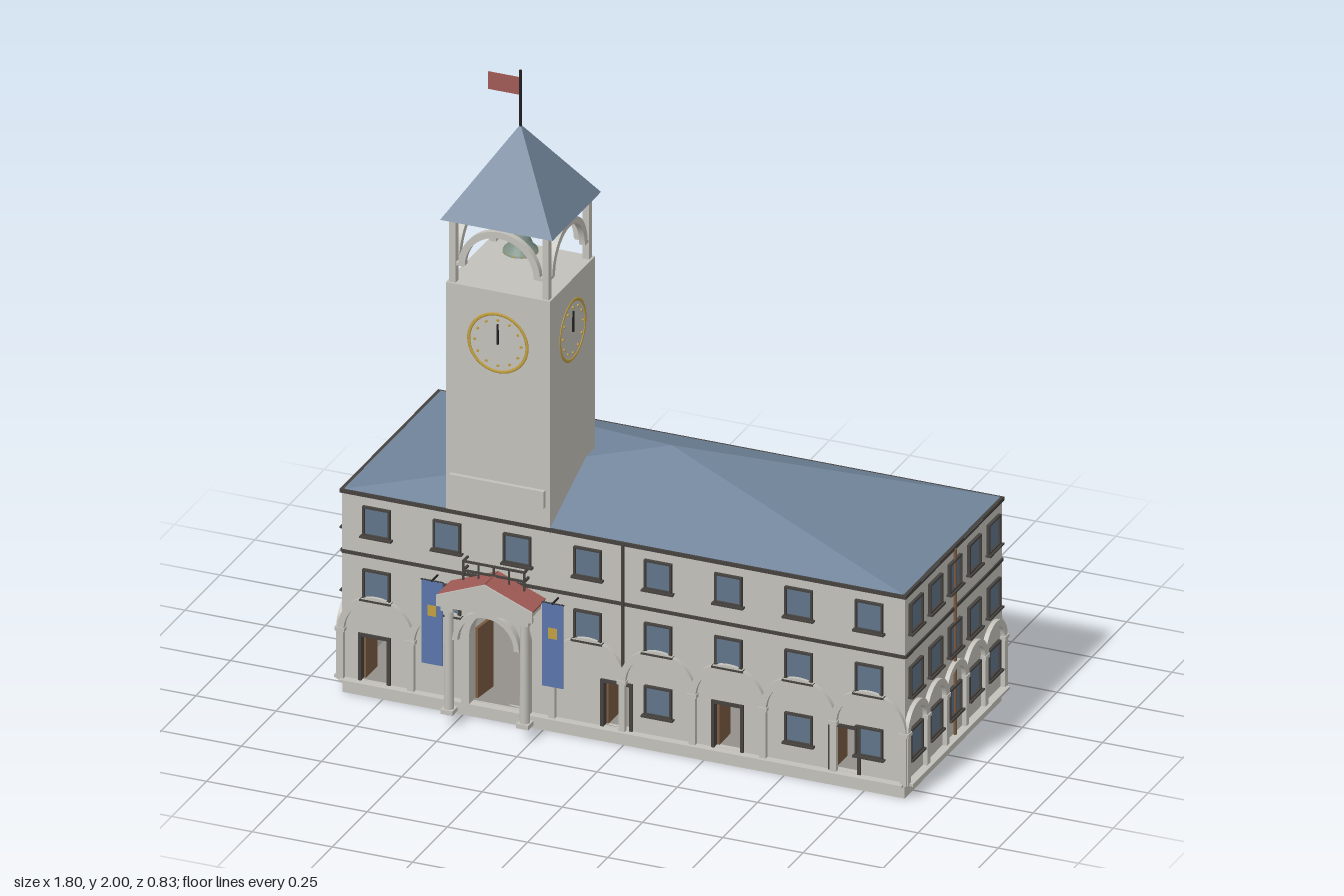
import * as THREE from 'three';

const mat = (color, extra = {}) => new THREE.MeshStandardMaterial({ color, ...extra });
const M = {
  wall: mat(0xc3c1ba), roof: mat(0x70849a, { flatShading: true }), dark: mat(0x45423f), glass: mat(0x5f7488),
  brown: mat(0x7a5a40), red: mat(0xa05a55, { side: THREE.DoubleSide }), gold: mat(0xc2a040), floor: mat(0x94918c),
  blue: mat(0x5a76ac), bronze: mat(0x7f9288, { side: THREE.DoubleSide }), black: mat(0x222222),
};
const TX = -0.39, TZ = 0.15; // tower axis

function add(parent, name, geo, material, x = 0, y = 0, z = 0) {
  const m = new THREE.Mesh(geo, material);
  m.name = name;
  m.position.set(x, y, z);
  parent.add(m);
  return m;
}
const box = (p, name, material, w, h, d, x, y, z) =>
  add(p, name, new THREE.BoxGeometry(w, h, d), material, x, y, z);
const cyl = (p, name, material, r, h, x, y, z, r2 = r) =>
  add(p, name, new THREE.CylinderGeometry(r2, r, h, 12), material, x, y, z);
function group(parent, name, x = 0, y = 0, z = 0, ry = 0) {
  const g = new THREE.Group();
  g.name = name;
  g.position.set(x, y, z);
  g.rotation.y = ry;
  parent.add(g);
  return g;
}
const extrude = (shape, depth) =>
  new THREE.ExtrudeGeometry(shape, { depth, bevelEnabled: false, curveSegments: 20 });

// Half ring standing on its springing line
function arch(p, name, rIn, rOut, depth, x, y, z, start = 0) {
  const s = new THREE.Shape();
  s.absarc(0, 0, rOut, start, Math.PI, false);
  s.absarc(0, 0, rIn, Math.PI, start, true);
  return add(p, name, extrude(s, depth), M.wall, x, y, z);
}

function pyramid(p, name, w, h, d, x, y, z) {
  const geo = new THREE.ConeGeometry(Math.SQRT1_2, h, 4);
  geo.rotateY(Math.PI / 4);
  geo.scale(w, 1, d);
  return add(p, name, geo, M.roof, x, y + h / 2, z);
}

function rectPath(w, h, x = 0, y = 0, Type = THREE.Path) {
  const p = new Type();
  p.moveTo(x - w / 2, y - h / 2).lineTo(x + w / 2, y - h / 2);
  p.lineTo(x + w / 2, y + h / 2).lineTo(x - w / 2, y + h / 2).closePath();
  return p;
}

function windowUnit(p, x, y) {
  const g = group(p, 'window', x, y, 0);
  const frame = rectPath(0.086, 0.094, 0, 0, THREE.Shape);
  frame.holes.push(rectPath(0.074, 0.082));
  add(g, 'windowFrame', extrude(frame, 0.01), M.dark);
  box(g, 'windowGlass', M.glass, 0.075, 0.083, 0.026, 0, 0, -0.01);
  box(g, 'windowSill', M.dark, 0.098, 0.006, 0.016, 0, -0.049, 0.008);
}

// Doorway trim with a leaf standing open to the inside
function doorUnit(p, x, w, h) {
  const g = group(p, 'door', x, 0.045, 0);
  for (const s of [-1, 1]) box(g, 'doorJamb', M.dark, 0.01, h, 0.028, s * w / 2, h / 2, -0.008);
  box(g, 'doorHead', M.dark, w + 0.01, 0.01, 0.028, 0, h, -0.008);
  box(g, 'doorLeaf', M.brown, 0.008, h - 0.01, w * 0.9, -w / 2 + 0.008, h / 2, -0.015 - w * 0.45);
}

// One outside wall, built facing +z
function facade(parent, name, w, n, x, z, ry, doors = [], lowWindows = null) {
  const g = group(parent, name, x, 0, z, ry);
  const front = name === 'frontFacade';
  const step = w / n, r = step / 2;
  const wall = rectPath(w, 0.6, 0, 0.345, THREE.Shape);
  for (const d of doors) {
    wall.holes.push(rectPath(0.09, 0.145, d, 0.1235));
    doorUnit(g, d, 0.09, 0.15);
  }
  if (front) {
    const portal = new THREE.Path();
    portal.moveTo(TX - 0.08, 0.051).lineTo(TX + 0.08, 0.051).lineTo(TX + 0.08, 0.27);
    portal.absarc(TX, 0.27, 0.08, 0, Math.PI, false);
    portal.closePath();
    wall.holes.push(portal);
  }
  add(g, 'wall', extrude(wall, 0.02), M.wall, 0, 0, -0.02);

  for (let i = 0; i < n; i++) {
    const cx = -w / 2 + (i + 0.5) * step;
    windowUnit(g, cx, 0.56);
    if (!lowWindows || lowWindows.includes(i)) windowUnit(g, cx, 0.16);
    if (front && i === 2) continue; // portal bay
    windowUnit(g, cx, 0.36);
    arch(g, 'arcadeArch', r - 0.011, r + 0.009, 0.014, cx, 0.205, 0, front && i === 1 ? 0.9 : 0);
  }
  for (let i = 0; i <= n; i++) {
    if (front && i === 2) continue;
    const px = -w / 2 + i * step;
    box(g, 'arcadePillar', M.wall, 0.02, 0.16, 0.014, px, 0.125, 0.007);
    box(g, 'pillarCapital', M.wall, 0.028, 0.012, 0.017, px, 0.205, 0.0085);
  }
  box(g, 'baseLedge', M.wall, w, 0.008, 0.025, 0, 0.046, 0.0125);
  box(g, 'floorBand', M.dark, w, 0.01, 0.005, 0, 0.45, 0.0025);
  box(g, 'gutter', M.dark, w + 0.01, 0.012, 0.01, 0, 0.641, 0);
  const foot = doors.includes(0) ? 0.2 : 0.05; // pipe stops over a central door
  cyl(g, 'drainpipe', n === 8 ? M.dark : M.brown, 0.005, 0.64 - foot, 0, (0.64 + foot) / 2, 0.005);
}

function clock(p, ry) {
  const g = group(p, 'clock', 0, 1.205, 0, ry), z = 0.163;
  add(g, 'clockRing', new THREE.TorusGeometry(0.091, 0.005, 6, 40).scale(1, 1, 0.4), M.gold, 0, 0, z);
  for (let i = 0; i < 12; i++) {
    const a = i * Math.PI / 6;
    const mark = cyl(g, 'hourMark', M.gold, 0.004, 0.006, Math.sin(a) * 0.072, Math.cos(a) * 0.072, z);
    mark.rotation.x = Math.PI / 2;
  }
  box(g, 'minuteHand', M.black, 0.004, 0.065, 0.003, 0, 0.028, z + 0.002);
  box(g, 'hourHand', M.black, 0.006, 0.045, 0.003, 0, 0.018, z);
}

function tower(root) {
  const g = group(root, 'clockTower', TX, 0, TZ);
  box(g, 'towerShaft', M.wall, 0.324, 0.74, 0.324, 0, 0.997, 0);
  box(g, 'towerPlaque', M.wall, 0.295, 0.055, 0.014, 0, 0.737, 0.168);
  // Belfry
  for (let i = 0; i < 4; i++) {
    const a = i * Math.PI / 2;
    clock(g, a);
    const side = group(g, 'belfrySide', 0, 0, 0, a);
    box(side, 'belfryPost', M.wall, 0.02, 0.2, 0.02, 0.145, 1.467, 0.145);
    arch(side, 'belfryArch', 0.107, 0.127, 0.018, 0, 1.425, 0.136);
    for (const s of [-1, 1]) box(side, 'archBracket', M.wall, 0.03, 0.01, 0.018, s * 0.126, 1.427, 0.145);
  }
  box(g, 'bellBeam', M.brown, 0.29, 0.014, 0.02, 0, 1.527, 0);
  const bell = [[0.052, 0], [0.05, 0.008], [0.037, 0.022], [0.029, 0.042], [0.024, 0.065], [0.016, 0.075], [0, 0.077]];
  add(g, 'bell', new THREE.LatheGeometry(bell.map(([x, y]) => new THREE.Vector2(x, y)), 24), M.bronze, 0, 1.425, 0);
  cyl(g, 'bellRim', M.gold, 0.052, 0.004, 0, 1.427, 0);
  cyl(g, 'bellHanger', M.brown, 0.012, 0.03, 0, 1.513, 0);
  add(g, 'bellClapper', new THREE.SphereGeometry(0.008, 12, 8), M.dark, 0, 1.427, 0);
  // Spire and flag
  box(g, 'belfryCeiling', M.brown, 0.34, 0.006, 0.34, 0, 1.569, 0);
  pyramid(g, 'spire', 0.35, 0.26, 0.35, 0, 1.568, 0);
  cyl(g, 'flagpole', M.black, 0.004, 0.19, 0, 1.905, 0);
  box(g, 'flag', M.red, 0.1, 0.055, 0.003, -0.05, 1.949, 0);
}

function porch(root) {
  const g = group(root, 'porch', TX, 0, 0.31);
  arch(g, 'portalArch', 0.08, 0.105, 0.025, 0, 0.27, 0);
  for (const s of [-1, 1]) {
    box(g, 'portalPilaster', M.wall, 0.025, 0.225, 0.025, s * 0.0925, 0.158, 0.0125);
    cyl(g, 'porchColumn', M.wall, 0.015, 0.34, s * 0.118, 0.21, 0.082, 0.013);
    box(g, 'columnBase', M.wall, 0.038, 0.014, 0.038, s * 0.118, 0.05, 0.082);
    box(g, 'columnCapital', M.wall, 0.038, 0.014, 0.038, s * 0.118, 0.378, 0.082);
    box(g, 'porchSideBeam', M.wall, 0.03, 0.028, 0.098, s * 0.118, 0.399, 0.05);
    // Sloping roof slab
    box(g, 'porchRoof', M.red, 0.158, 0.01, 0.099, s * 0.073, 0.444, 0.0495).rotation.z = -s * 0.38;
  }
  arch(g, 'porchArch', 0.088, 0.104, 0.02, 0, 0.28, 0.072);
  const gable = new THREE.Shape();
  gable.moveTo(-0.15, 0.385).lineTo(0.15, 0.385).lineTo(0.15, 0.419).lineTo(0, 0.479).lineTo(-0.15, 0.419);
  add(g, 'pediment', extrude(gable, 0.005), M.wall, 0, 0, 0.098);
  box(g, 'portalDoorLeaf', M.brown, 0.01, 0.225, 0.09, -0.072, 0.16, -0.065).rotation.y = -0.12;
  // Small balcony rail above the roof
  for (const y of [0.477, 0.506]) {
    box(g, 'balconyRail', M.dark, 0.195, 0.006, 0.006, 0, y, 0.032);
    for (const s of [-1, 1]) box(g, 'balconySideRail', M.dark, 0.006, 0.006, 0.032, s * 0.095, y, 0.016);
  }
  for (let i = -2; i <= 2; i++) box(g, 'balconyPost', M.dark, 0.005, 0.06, 0.005, i * 0.0475, 0.477, 0.032);
  // Hanging banners
  for (const s of [-1, 1]) {
    const b = group(g, 'banner', s * 0.188, 0, 0.042);
    box(b, 'bannerCloth', M.blue, 0.066, 0.265, 0.003, 0, 0.297, 0);
    box(b, 'bannerPatch', M.gold, 0.028, 0.034, 0.005, 0, 0.335, 0);
    cyl(b, 'bannerRod', M.black, 0.002, 0.07, 0, 0.43, 0).rotation.z = Math.PI / 2;
    box(b, 'bannerBracket', M.black, 0.004, 0.004, 0.045, 0, 0.43, -0.018);
  }
}

export function createModel() {
  const root = new THREE.Group();
  root.name = 'townHall';
  const zc = -0.039, half = Math.PI / 2;
  // Hollow base ring under a raised floor
  const ring = rectPath(1.752, 0.698, 0, 0, THREE.Shape);
  ring.holes.push(rectPath(1.722, 0.668));
  add(root, 'plinth', extrude(ring, 0.046).rotateX(-half), M.wall, 0, 0, zc);
  box(root, 'floor', M.floor, 1.74, 0.006, 0.686, 0, 0.048, zc);
  facade(root, 'frontFacade', 1.754, 8, 0, 0.31, 0, [-0.775, -0.02, 0.325, 0.69], [4, 6, 7]);
  facade(root, 'backFacade', 1.754, 8, 0, -0.388, Math.PI);
  facade(root, 'leftFacade', 0.698, 5, 0.877, zc, half);
  facade(root, 'rightFacade', 0.698, 5, -0.877, zc, -half, [0], [0, 1, 3, 4]);
  pyramid(root, 'mainRoof', 1.765, 0.153, 0.706, 0, 0.645, zc);
  tower(root);
  porch(root);
  return root;
}
